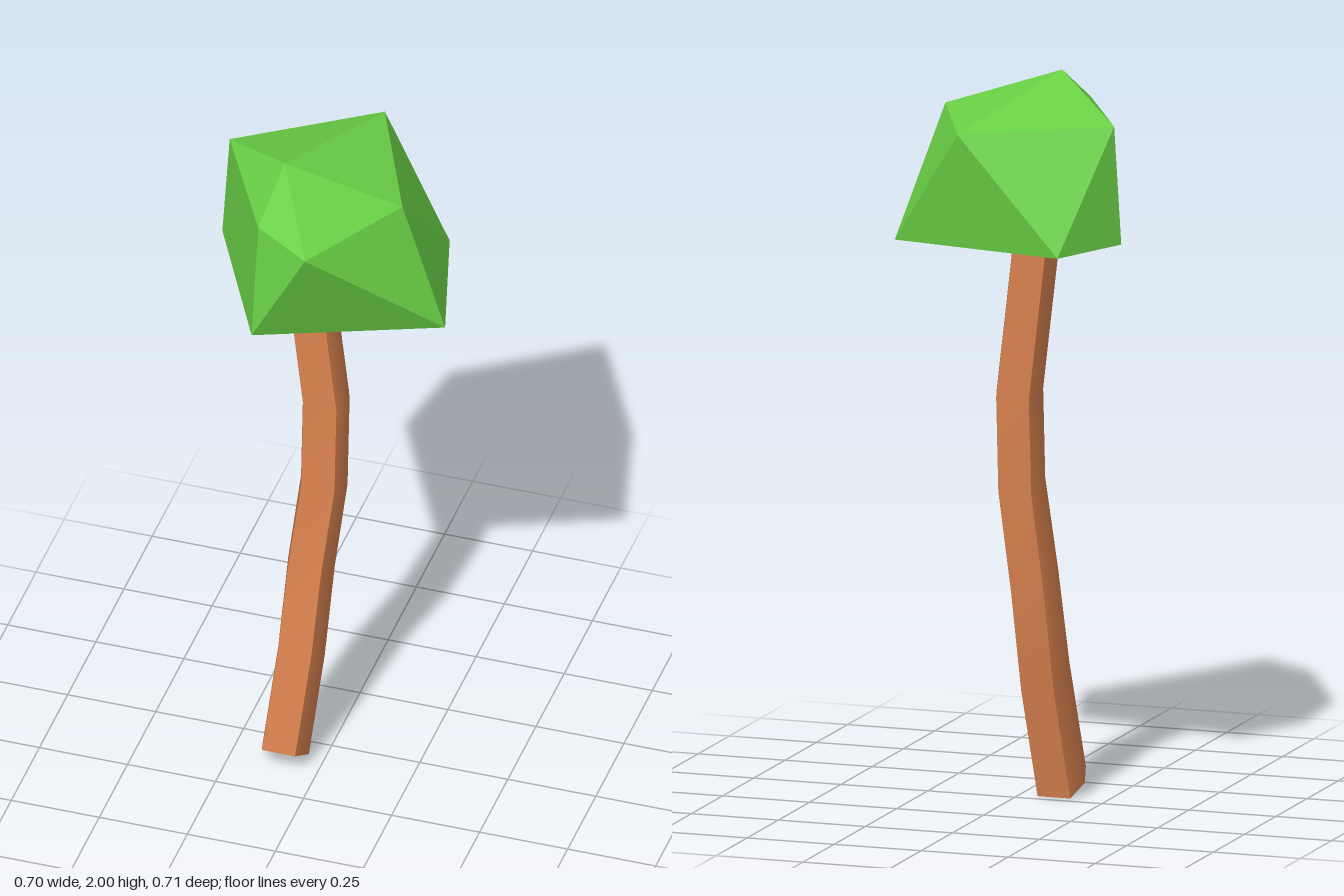
import * as THREE from 'three';
import { toCreasedNormals } from 'three/addons/utils/BufferGeometryUtils.js';

function meshFrom(name, points, faces, color, crease) {
  const flat = faces.flatMap(face => face.flatMap(i => points[i]));
  const geometry = new THREE.BufferGeometry();
  geometry.setAttribute('position', new THREE.Float32BufferAttribute(flat, 3));
  const mesh = new THREE.Mesh(
    toCreasedNormals(geometry, crease),
    new THREE.MeshStandardMaterial({ color })
  );
  mesh.name = name;
  return mesh;
}

// Bent six-sided trunk, lofted through tilted rings
function createTrunk() {
  // centre x, y, z, half depth, slope of the ring along z
  const rings = [
    [-0.1, 0.03, 0.097, 0.0625, 0.52],
    [-0.073, 0.33, 0.04, 0.062, 0.5],
    [-0.06, 0.6, -0.008, 0.058, 0.4],
    [-0.03, 0.87, -0.028, 0.057, 0.2],
    [-0.03, 1.13, -0.045, 0.057, 0.15],
    [-0.084, 1.57, -0.055, 0.055, 0.05],
    [-0.092, 1.64, -0.056, 0.055, 0.05],
  ];
  const section = [[0.066, 0], [0.047, -1], [-0.047, -1], [-0.066, 0], [-0.047, 1], [0.047, 1]];
  const sides = section.length;
  const points = [];
  for (const [cx, cy, cz, depth, slope] of rings) {
    for (const [x, z] of section) points.push([cx + x, cy + slope * z * depth, cz + z * depth]);
  }
  const faces = [];
  const top = (rings.length - 1) * sides;
  for (let j = 0; j < sides; j++) {
    const n = (j + 1) % sides;
    for (let r = 0; r < top; r += sides) {
      faces.push([r + j, r + n, r + sides + n], [r + j, r + sides + n, r + sides + j]);
    }
    // End caps
    if (j > 0 && j < sides - 1) faces.push([0, n, j], [top, top + j, top + n]);
  }
  return meshFrom('trunk', points, faces, 0xd9824f, 0.75);
}

// Irregular twenty-sided crown with a hollowed underside
function createCrown() {
  const upper = [[-0.325, 1.895, -0.11], [0.037, 1.895, -0.356], [0.213, 1.895, 0.038],
    [0.037, 1.895, 0.354], [-0.13, 1.895, 0.246]];
  const lower = [[-0.25, 1.573, -0.356], [0.25, 1.573, -0.265], [0.347, 1.546, 0.078],
    [-0.13, 1.573, 0.305], [-0.349, 1.573, -0.12]];
  const points = [...upper, ...lower, [-0.107, 2, 0.082], [-0.1, 1.675, 0.032]];
  const apex = 10, hollow = 11;
  const faces = [];
  for (let i = 0; i < 5; i++) {
    const n = (i + 1) % 5;
    faces.push([apex, n, i], [i, n, 5 + i], [n, 5 + n, 5 + i], [hollow, 5 + i, 5 + n]);
  }
  return meshFrom('crown', points, faces, 0x6ad146, 0.2);
}

export function createModel() {
  const tree = new THREE.Group();
  tree.name = 'tree';
  tree.add(createTrunk(), createCrown());
  return tree;
}
